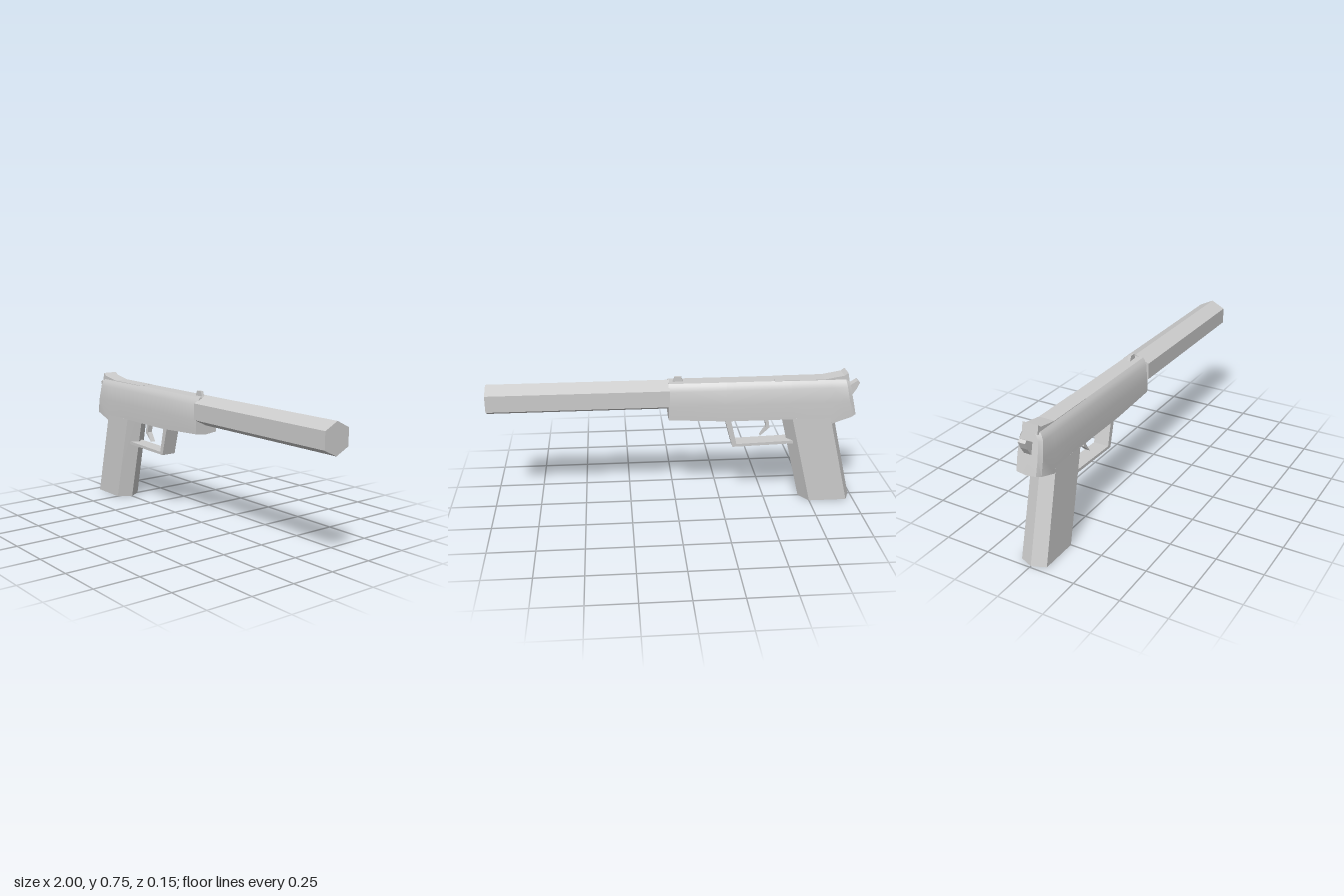
import * as THREE from 'three';
import { toCreasedNormals } from 'three/addons/utils/BufferGeometryUtils.js';

const material = new THREE.MeshStandardMaterial({ color: 0xcccccc });

// Skin a row of closed rings of [x, y, z] points and cap both ends.
function loft(rings, crease) {
  const pos = [];
  const n = rings[0].length;
  const centre = (r) => [0, 1, 2].map((k) => r.reduce((s, p) => s + p[k], 0) / n);
  const tri = (a, b, c) => pos.push(...a, ...b, ...c);
  const first = rings[0];
  const last = rings[rings.length - 1];
  const c0 = centre(first);
  const c1 = centre(last);
  for (let i = 0; i < n; i++) {
    const j = (i + 1) % n;
    for (let k = 0; k + 1 < rings.length; k++) {
      const a = rings[k];
      const b = rings[k + 1];
      tri(a[i], a[j], b[j]);
      tri(a[i], b[j], b[i]);
    }
    tri(c0, first[j], first[i]);
    tri(c1, last[i], last[j]);
  }
  const g = new THREE.BufferGeometry();
  g.setAttribute('position', new THREE.Float32BufferAttribute(pos, 3));
  return toCreasedNormals(g, crease);
}

// Side outline in x, y given a width centred on z = 0.
function plate(points, width) {
  const shape = new THREE.Shape(points.map(([x, y]) => new THREE.Vector2(x, y)));
  return new THREE.ExtrudeGeometry(shape, { depth: width, bevelEnabled: false }).translate(0, 0, -width / 2);
}

// Body section: flat top, bevelled shoulders, shallow V underneath.
function bodyRing(x, bottom, lean, inset = 0) {
  const half = [[bottom, 0.068], [0.59, 0.07], [0.67, 0.064], [0.695, 0.053], [0.71, 0.042]];
  const at = (y, z) => [x + lean * Math.max(0, y - 0.51), y, z];
  return [
    at(bottom - 0.008, 0),
    ...half.map(([y, z]) => at(y, -z + inset)),
    ...half.slice().reverse().map(([y, z]) => at(y, z - inset)),
  ];
}

// Grip section: long hexagon, pointed to the front and back.
function gripRing(y, half) {
  const s = 0.24 * y;
  return [
    [-0.99 + s, y, 0], [-0.96 + s, y, half], [-0.75 + s, y, half],
    [-0.70 + s, y, 0], [-0.75 + s, y, -half], [-0.96 + s, y, -half],
  ];
}

export function createModel() {
  const group = new THREE.Group();
  const add = (name, geometry) => {
    const mesh = new THREE.Mesh(geometry, material);
    mesh.name = name;
    group.add(mesh);
  };

  // Main body with leaning, chamfered rear end
  add('body', loft([
    bodyRing(-0.98, 0.51, 0.23, 0.014),
    bodyRing(-0.955, 0.501, 0.2),
    bodyRing(-0.85, 0.465, 0.1),
    bodyRing(-0.80, 0.465, 0),
    bodyRing(-0.62, 0.497, 0),
    bodyRing(-0.27, 0.497, 0),
    bodyRing(0.04, 0.514, 0),
  ], 0.5));

  // Six-sided barrel extension
  const hex = [[0.555, 0], [0.592, -0.077], [0.682, -0.077], [0.72, 0], [0.682, 0.077], [0.592, 0.077]];
  add('barrelExtension', loft([0.035, 1].map((x) => hex.map(([y, z]) => [x, y, z])), 0.3));

  // Raked grip
  add('grip', loft([gripRing(0, 0.073), gripRing(0.5, 0.0685)], 0.3));

  // Trigger guard: bottom bar and front strut
  add('triggerGuard', plate([
    [-0.645, 0.343], [-0.31, 0.334], [-0.265, 0.5], [-0.297, 0.5], [-0.332, 0.35], [-0.645, 0.36],
  ], 0.086));

  // Bent trigger
  add('trigger', plate([
    [-0.505, 0.5], [-0.517, 0.43], [-0.465, 0.383], [-0.497, 0.435], [-0.485, 0.5],
  ], 0.03));

  // Rear sight ramp and the thin plate in front of it
  add('rearSight', plate([
    [-0.935, 0.70], [-0.925, 0.745], [-0.905, 0.73], [-0.80, 0.712], [-0.53, 0.711], [-0.53, 0.70],
  ], 0.086));

  // Front sight blade
  add('frontSight', plate([
    [-0.045, 0.70], [-0.03, 0.737], [0.003, 0.737], [0.018, 0.70],
  ], 0.016));

  // Hammer at the rear
  add('hammer', plate([
    [-0.955, 0.6], [-0.985, 0.645], [-1.0, 0.68], [-0.987, 0.692], [-0.93, 0.655], [-0.93, 0.6],
  ], 0.04));

  return group;
}
